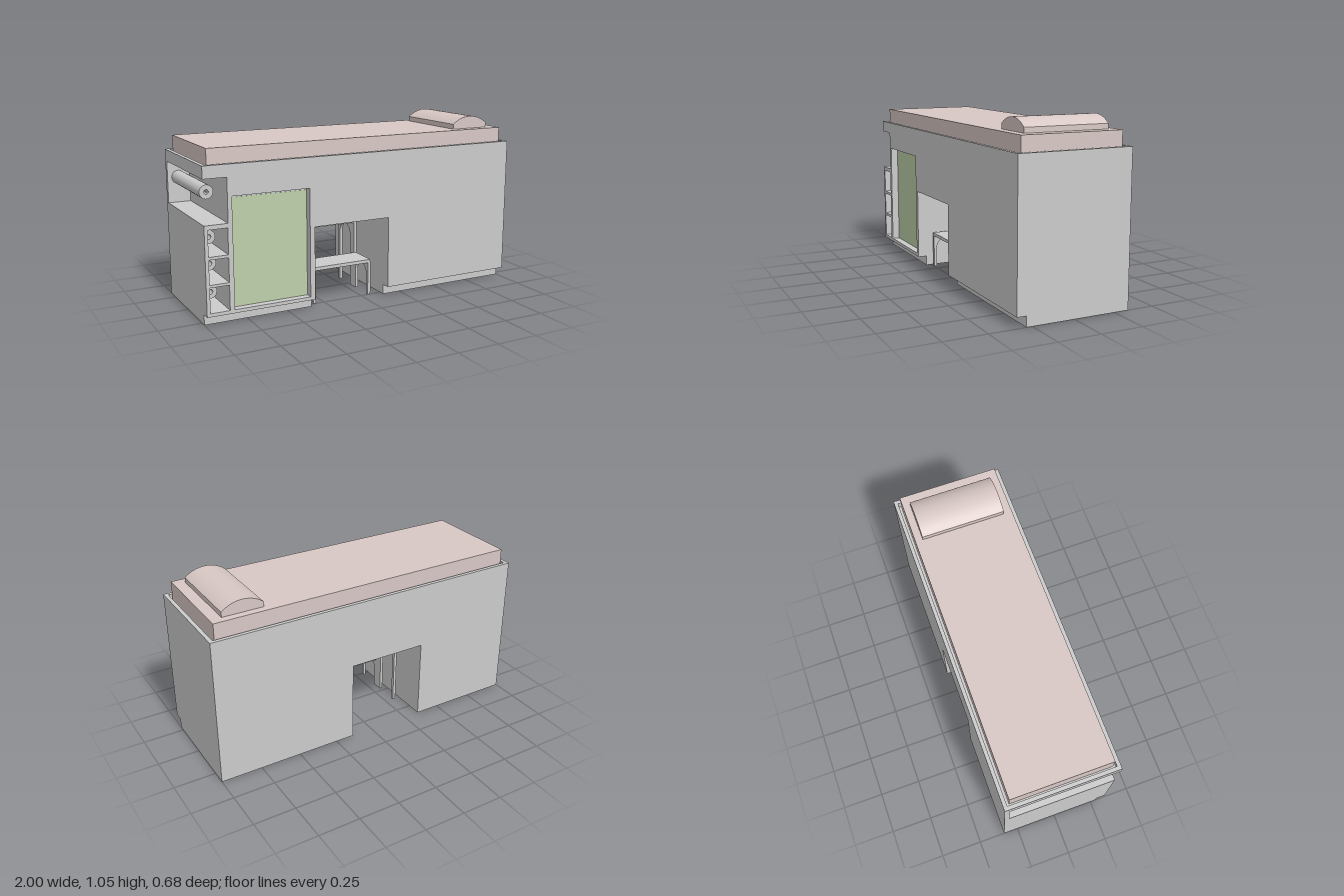
import * as THREE from 'three';

const mat = (color) => new THREE.MeshStandardMaterial({ color });
const grey = mat(0xcccccc), pink = mat(0xd8c8c5), green = mat(0xbdd0aa);

export function createModel() {
  const model = new THREE.Group();

  const add = (name, geometry, material = grey, parent = model) => {
    const mesh = new THREE.Mesh(geometry, material);
    mesh.name = name;
    parent.add(mesh);
    return mesh;
  };
  // Box given by its limits on each axis
  const box = (name, [x0, x1], [y0, y1], [z0, z1], material, parent) => {
    const g = new THREE.BoxGeometry(x1 - x0, y1 - y0, z1 - z0);
    g.translate((x0 + x1) / 2, (y0 + y1) / 2, (z0 + z1) / 2);
    return add(name, g, material, parent);
  };
  const polygon = (points) => new THREE.Shape(points.map(([x, y]) => new THREE.Vector2(x, y)));
  const rect = (x0, x1, y0, y1) => polygon([[x0, y0], [x1, y0], [x1, y1], [x0, y1]]);
  const extrude = (shape, z0, z1) => new THREE.ExtrudeGeometry(shape,
    { depth: z1 - z0, bevelEnabled: false, curveSegments: 24 }).translate(0, 0, z0);

  // Cabinet: profile with a knee opening, the front layer pierced for the door recess
  const cabinet = () => polygon([[-0.865, 0.06], [-0.35, 0.06], [-0.35, 0.49], [0.135, 0.49],
    [0.135, 0.06], [1, 0.06], [1, 0.82], [-0.865, 0.82]]);
  add('cabinetBody', extrude(cabinet(), -0.34, 0.295));
  const front = cabinet();
  front.holes.push(rect(-0.84, -0.38, 0.08, 0.715));
  add('cabinetFront', extrude(front, 0.295, 0.34));
  box('doorPanel', [-0.825, -0.382], [0.082, 0.7], [0.29, 0.297], green);

  // Recessed plinths either side of the opening
  box('plinthRight', [-1, -0.35], [0, 0.06], [-0.34, 0.285]);
  box('plinthLeft', [0.135, 1], [0, 0.06], [-0.34, 0.285]);

  // End column with three cubbies and an open bay above
  const column = rect(-1, -0.865, 0.06, 0.57);
  const cubbies = [[0.08, 0.225], [0.24, 0.38], [0.396, 0.545]];
  cubbies.forEach(([y0, y1]) => column.holes.push(rect(-0.98, -0.868, y0, y1)));
  add('cubbyColumn', extrude(column, -0.31, 0.34));
  box('columnBack', [-1, -0.865], [0.06, 0.82], [-0.34, -0.31]);

  // Rolls with hollow cores
  const roll = (name, x, y, inner, z1) => {
    const s = new THREE.Shape().absarc(x, y, 0.04, 0, Math.PI * 2);
    s.holes.push(new THREE.Path().absarc(x, y, inner, 0, Math.PI * 2, true));
    const g = new THREE.Group();
    g.name = name;
    // Smooth lathe wall, closed ring profile
    const len = z1 + 0.31;
    const wall = new THREE.CylinderGeometry(0.04, 0.04, len, 32, 1, true);
    const core = new THREE.CylinderGeometry(inner, inner, len, 32, 1, true);
    [wall, core].forEach((c) => c.rotateX(Math.PI / 2).translate(x, y, z1 - len / 2));
    add('rollWall', wall, grey, g);
    const coreMesh = add('rollCore', core, grey, g);
    coreMesh.material = new THREE.MeshStandardMaterial({ color: 0xcccccc, side: THREE.DoubleSide });
    add('rollEnd', new THREE.ShapeGeometry(s, 32).translate(0, 0, z1), grey, g);
    model.add(g);
  };
  roll('paperRoll', -0.935, 0.722, 0.013, 0.2);
  const rod = new THREE.CylinderGeometry(0.005, 0.005, 0.51, 12);
  add('rollRod', rod.rotateX(Math.PI / 2).translate(-0.935, 0.722, -0.055));
  [0.145, 0.31, 0.462].forEach((y) => roll('storedRoll', -0.922, y, 0.015, 0.17));

  // Top tray: floor and raised rim around the mattress
  box('trayFloor', [-1, 1], [0.82, 0.85], [-0.34, 0.34]);
  const rim = rect(-1, 1, -0.34, 0.34);
  rim.holes.push(rect(-0.977, 0.977, -0.318, 0.318));
  add('trayRim', extrude(rim, 0, 0.04).rotateX(-Math.PI / 2).translate(0, 0.85, 0));
  box('mattress', [-0.963, 0.96], [0.85, 0.975], [-0.302, 0.302], pink);

  // Pillow: flat base, short sides and an arched top
  const half = 0.123, rise = 0.045;
  const radius = (half * half + rise * rise) / (2 * rise);
  const a = Math.asin(half / radius);
  const pillow = new THREE.Shape();
  pillow.moveTo(-half, 0.975);
  pillow.lineTo(half, 0.975);
  pillow.lineTo(half, 1.005);
  pillow.absarc(0, 1.05 - radius, radius, Math.PI / 2 - a, Math.PI / 2 + a, false);
  add('pillow', extrude(pillow, -0.257, 0.25).translate(0.77, 0, 0), pink);

  // Step stool: stepped side panels with arched cut-outs, drawn as (z, y)
  const stool = new THREE.Group();
  stool.name = 'stepStool';
  model.add(stool);
  const side = new THREE.Shape();
  side.moveTo(-0.13, 0);
  side.lineTo(-0.11, 0);
  side.lineTo(-0.11, 0.32);
  side.absarc(-0.043, 0.32, 0.067, Math.PI, 0, true);
  side.lineTo(0.024, 0);
  side.lineTo(0.095, 0);
  side.lineTo(0.095, 0.12);
  side.absarc(0.163, 0.12, 0.068, Math.PI, 0, true);
  side.lineTo(0.231, 0);
  side.lineTo(0.25, 0);
  side.lineTo(0.25, 0.205);
  side.lineTo(0.075, 0.205);
  side.lineTo(0.075, 0.415);
  side.lineTo(-0.13, 0.415);
  for (const x of [-0.32, 0.047]) {
    const g = extrude(side, 0, 0.018).rotateY(-Math.PI / 2).translate(x + 0.018, 0, 0);
    add('stoolSide', g, grey, stool);
  }
  box('upperStep', [-0.31, 0.055], [0.412, 0.432], [-0.13, 0.075], grey, stool);
  box('lowerStep', [-0.318, 0.063], [0.2, 0.22], [0.07, 0.25], grey, stool);

  return model;
}
